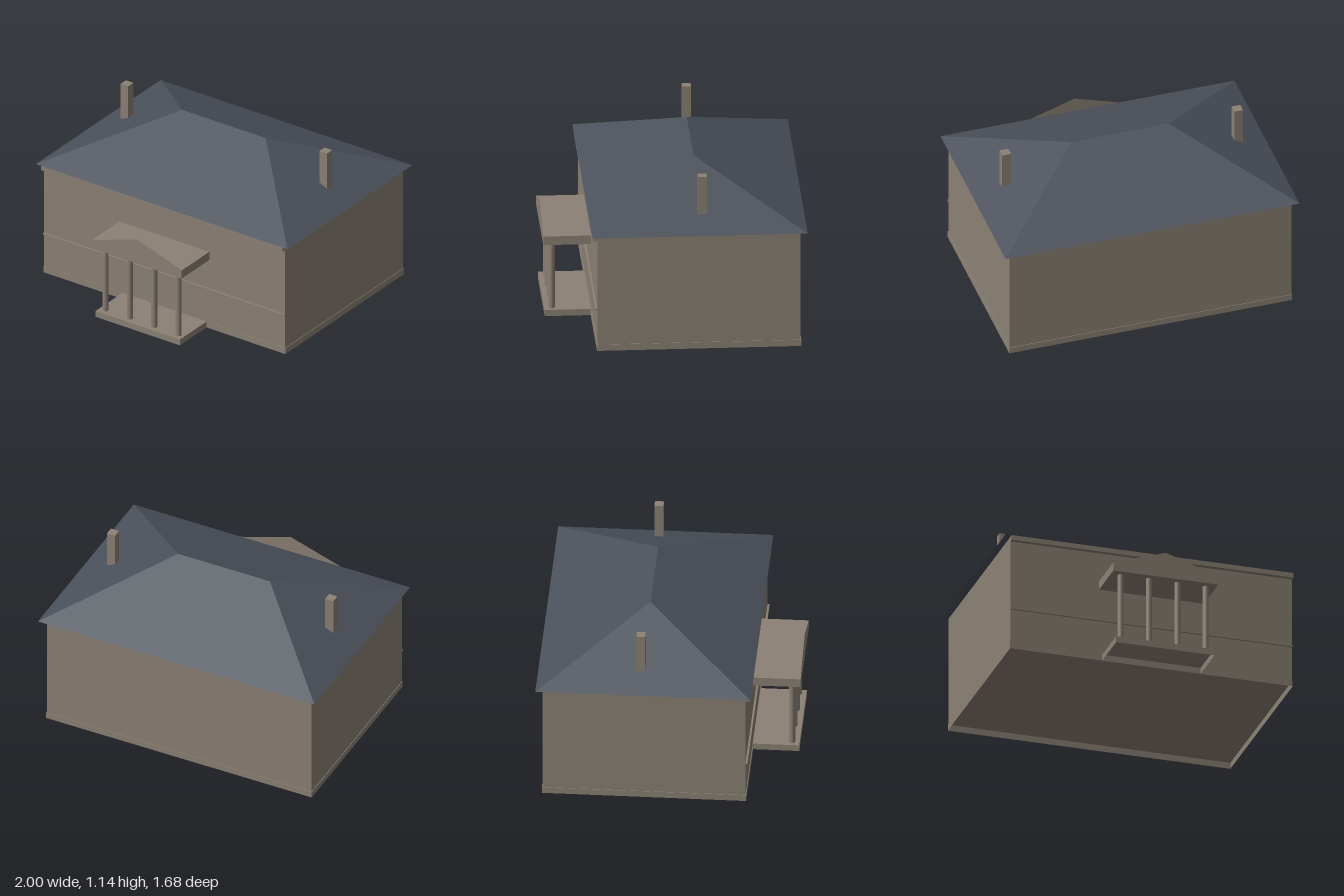
import * as THREE from 'three';

export function createModel() {
  const house = new THREE.Group();
  house.name = 'house';

  const stone = new THREE.MeshStandardMaterial({ color: 0x8b8175, side: THREE.DoubleSide });
  stone.name = 'stone';
  const slate = new THREE.MeshStandardMaterial({ color: 0x4b515b });
  slate.name = 'slate';

  const add = (name, geometry, material = stone) => {
    const mesh = new THREE.Mesh(geometry, material);
    mesh.name = name;
    house.add(mesh);
    return mesh;
  };

  // Box given by its limits on each axis; open boxes have no underside
  const box = (name, [x0, x1], [y0, y1], [z0, z1], open = false) => {
    const g = new THREE.BoxGeometry(x1 - x0, y1 - y0, z1 - z0);
    if (open) {
      const index = Array.from(g.index.array);
      index.splice(18, 6);
      g.setIndex(index);
      g.clearGroups();
    }
    g.translate((x0 + x1) / 2, (y0 + y1) / 2, (z0 + z1) / 2);
    return add(name, g);
  };

  // Walls on a hollow plinth
  box('plinth', [-0.962, 0.962], [0, 0.043], [-0.8, 0.529], true);
  box('walls', [-0.958, 0.958], [0.043, 0.8], [-0.796, 0.525]);

  // Mouldings on the front
  box('beltCourse', [-0.96, 0.96], [0.28, 0.293], [0.525, 0.538]);
  box('cornice', [-0.96, 0.96], [0.766, 0.799], [0.525, 0.556]);

  // Hipped roof: four eave corners and two ridge ends
  const corners = [
    [-1, 0.8, 0.56], [1, 0.8, 0.56], [1, 0.8, -0.84], [-1, 0.8, -0.84],
    [-0.332, 1.1, -0.14], [0.332, 1.1, -0.14],
  ];
  const faces = [
    0, 1, 5, 0, 5, 4, // front
    2, 3, 4, 2, 4, 5, // back
    1, 2, 5, 3, 0, 4, // hips
    0, 3, 2, 0, 2, 1, // underside
  ];
  const roof = new THREE.BufferGeometry();
  roof.setAttribute('position',
    new THREE.Float32BufferAttribute(faces.flatMap((i) => corners[i]), 3));
  roof.computeVertexNormals();
  add('roof', roof, slate);

  // Chimneys
  for (const [name, x] of [['leftChimney', 0.79], ['rightChimney', -0.79]]) {
    box(name, [x - 0.03, x + 0.03], [0.87, 1.14], [-0.197, -0.138]);
  }

  // Portico: floor, columns, flat canopy and thin gable front
  box('porchFloor', [-0.335, 0.335], [0, 0.043], [0.529, 0.828], true);
  for (const x of [-0.29, -0.097, 0.097, 0.29]) {
    const column = add('column', new THREE.CylinderGeometry(0.02, 0.02, 0.462, 12));
    column.position.set(x, 0.274, 0.779);
  }
  box('canopy', [-0.357, 0.357], [0.505, 0.565], [0.529, 0.838]);
  const gable = new THREE.Shape([
    new THREE.Vector2(-0.357, 0.565),
    new THREE.Vector2(0.357, 0.565),
    new THREE.Vector2(0, 0.682),
  ]);
  add('pediment', new THREE.ShapeGeometry(gable)).position.z = 0.838;

  return house;
}
